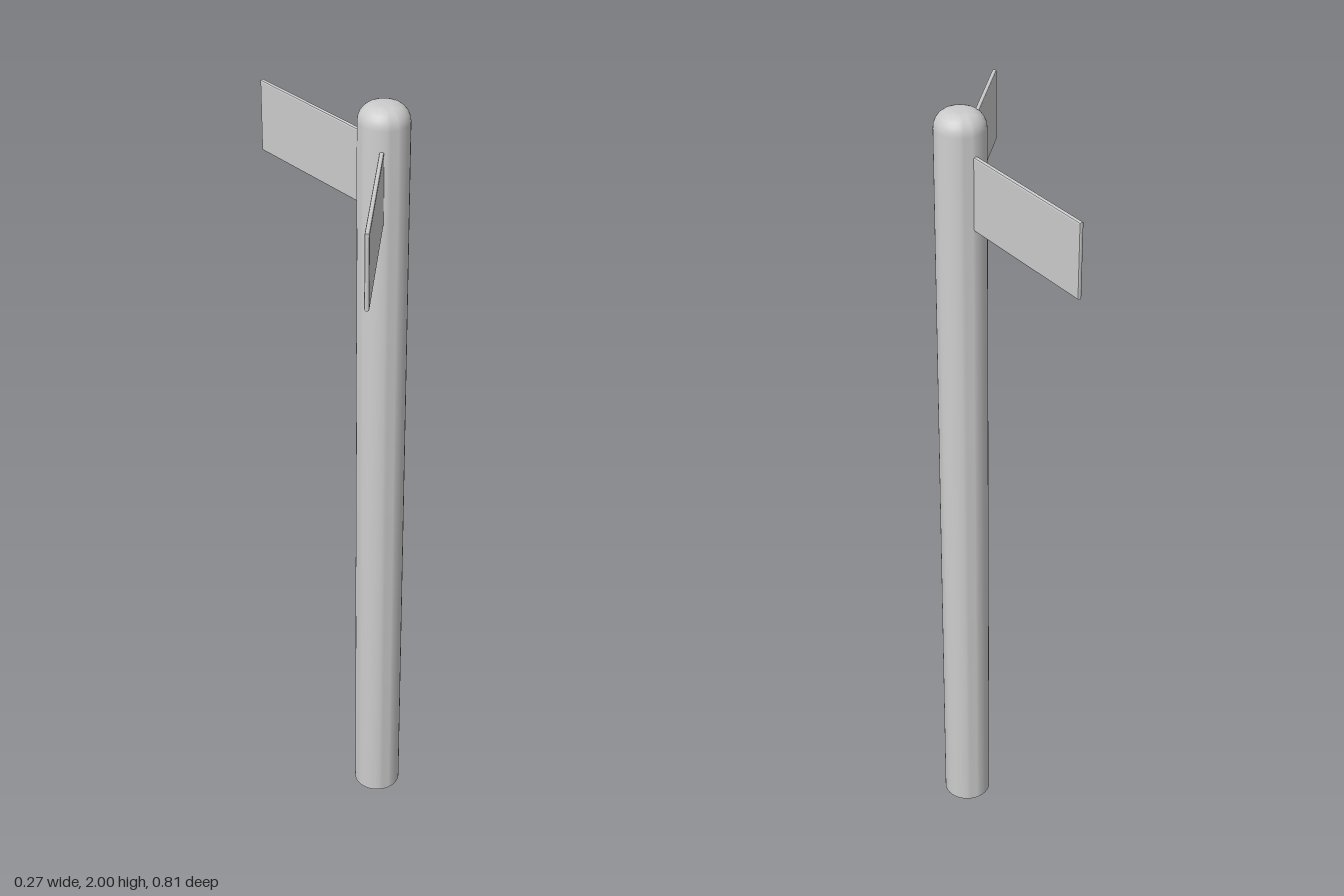
import * as THREE from 'three';
import { toCreasedNormals } from 'three/addons/utils/BufferGeometryUtils.js';

const POLE_X = 0.075, POLE_Z = 0.015, POLE_R = 0.06, HEIGHT = 2;

export function createModel() {
  const group = new THREE.Group();
  group.name = 'signpost';
  const material = new THREE.MeshStandardMaterial({ color: 0xcccccc });

  // Pole: straight shaft with a rounded top edge and flat ends
  const round = 0.042;
  const profile = [new THREE.Vector2(0, 0), new THREE.Vector2(POLE_R, 0)];
  for (let i = 0; i <= 6; i++) {
    const a = (i / 6) * Math.PI / 2;
    profile.push(new THREE.Vector2(
      POLE_R - round + round * Math.cos(a),
      HEIGHT - round + round * Math.sin(a)));
  }
  profile.push(new THREE.Vector2(0, HEIGHT));
  const pole = new THREE.Mesh(
    toCreasedNormals(new THREE.LatheGeometry(profile, 40), 0.6), material);
  pole.name = 'pole';
  pole.position.set(POLE_X, 0, POLE_Z);
  group.add(pole);

  // Sign boards: thin bevelled panels pointing outward from the pole axis
  const inner = 0.054, outer = 0.441, bottom = 1.73, top = 1.91;
  const bevel = 0.004, thickness = 0.011;
  const face = new THREE.Shape([
    new THREE.Vector2(inner + bevel, bottom + bevel),
    new THREE.Vector2(outer - bevel, bottom + bevel),
    new THREE.Vector2(outer - bevel, top - bevel),
    new THREE.Vector2(inner + bevel, top - bevel),
  ]);
  const depth = thickness - 2 * bevel;
  const boardGeometry = new THREE.ExtrudeGeometry(face, {
    depth, bevelEnabled: true, bevelSize: bevel, bevelThickness: bevel, bevelSegments: 2,
  });
  boardGeometry.translate(0, 0, -depth / 2);

  const addBoard = (name, dx, dz) => {
    const board = new THREE.Mesh(boardGeometry, material);
    board.name = name;
    board.position.set(POLE_X, 0, POLE_Z);
    board.rotation.y = Math.atan2(-dz, dx);
    group.add(board);
  };
  addBoard('frontSignBoard', -0.208, 0.39);
  addBoard('backSignBoard', -0.128, -0.42);

  return group;
}
